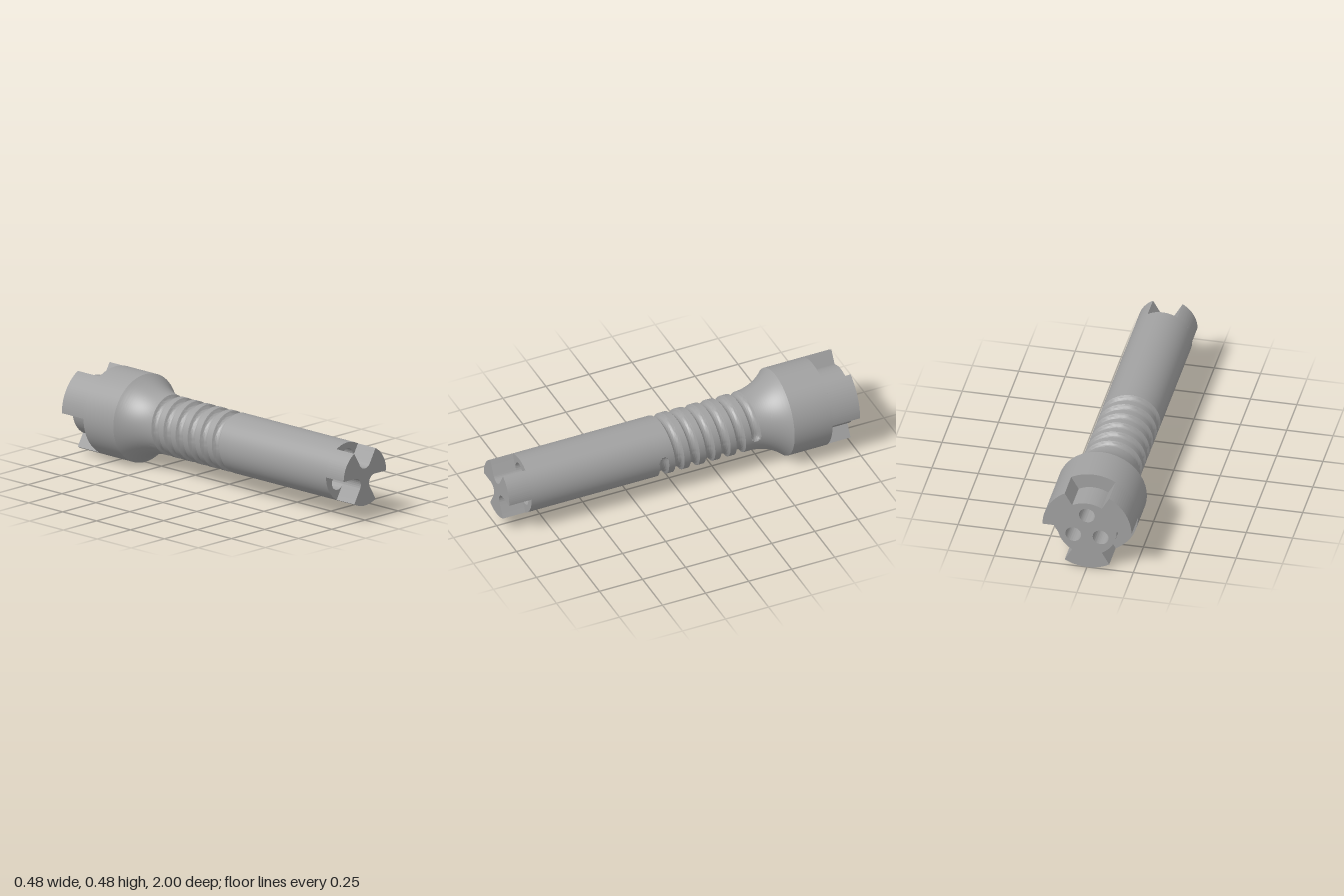
import * as THREE from 'three';
import { toCreasedNormals } from 'three/addons/utils/BufferGeometryUtils.js';

const TAU = Math.PI * 2, deg = Math.PI / 180;
const SHAFT = 0.16, HEAD = 0.24;               // outer radii
const BORE = 0.0425, BORE_AT = 0.085;          // three through holes
const SPOKES = [90, 210, 330].map(a => a * deg);
const START = 0.1, TURNS = 6, PITCH = 0.0892;  // helical groove
const TOP = START + PITCH / 2, FLARE = -0.42, HEAD_Z = -0.62;

const boreCentre = h => [BORE_AT * Math.cos(h), BORE_AT * Math.sin(h)];

function drill(shape) {
  for (const h of SPOKES) shape.holes.push(new THREE.Path().absarc(...boreCentre(h), BORE, 0, TAU, true));
  return shape;
}

const disc = r => drill(new THREE.Shape().absarc(0, 0, r, 0, TAU, false));

// Three lobes: 60 degree slots that run tangentially into the bores
function lobes() {
  const s = new THREE.Shape();
  for (const h of SPOKES) {
    s.absarc(0, 0, SHAFT, h - 90 * deg, h - 30 * deg, false);
    s.absarc(...boreCentre(h), BORE, h - 120 * deg, h - 240 * deg, true);
  }
  return s;
}

// Three teeth around a core of the shaft's radius
function teeth() {
  const s = new THREE.Shape();
  for (const h of SPOKES) {
    s.absarc(0, 0, HEAD, h - 90 * deg, h - 30 * deg, false);
    s.absarc(0, 0, SHAFT, h - 30 * deg, h + 30 * deg, false);
  }
  return drill(s);
}

function extrude(shape, z0, z1) {
  const g = new THREE.ExtrudeGeometry(shape, { depth: z1 - z0, bevelEnabled: false, curveSegments: 48 });
  return toCreasedNormals(g.translate(0, 0, z0), 0.5);
}

// Radius without groove: straight shaft, then a circular flare to the head
function bodyRadius(z) {
  const d = Math.max(0, FLARE - z), arc = 0.29;
  return SHAFT + arc - Math.sqrt(arc * arc - d * d);
}

// Depth of the round-ended groove at angle a and height z
function grooveDepth(a, z) {
  const half = 0.025, depth = 0.023;
  let near = half;
  for (let k = -1; k <= TURNS; k++) {
    const turn = a / TAU + k, t = Math.min(TURNS, Math.max(0, turn));
    near = Math.min(near, Math.hypot(z - (START - PITCH * t), (turn - t) * TAU * SHAFT));
  }
  return depth * Math.sqrt(1 - (near / half) ** 2);
}

// Grid whose rows follow the helix, clamped flat at both ends
function threadGeometry() {
  const cols = 96, perTurn = 36, rows = perTurn * 11, pos = [], index = [];
  for (let i = 0; i <= rows; i++) {
    for (let j = 0; j <= cols; j++) {
      const a = TAU * j / cols;
      const z = Math.max(HEAD_Z, Math.min(TOP, TOP + PITCH - PITCH * (i / perTurn + j / cols)));
      const r = bodyRadius(z) - grooveDepth(a, z);
      pos.push(r * Math.cos(a), -r * Math.sin(a), z);
    }
  }
  const w = cols + 1, zOf = n => pos[n * 3 + 2];
  for (let i = 0; i < rows; i++) {
    for (let j = 0; j < cols; j++) {
      const a = i * w + j, b = a + 1, c = a + w, d = c + 1;
      if (zOf(a) === zOf(d)) continue;         // collapsed by the clamp
      index.push(a, b, c, b, d, c);
    }
  }
  const g = new THREE.BufferGeometry();
  g.setAttribute('position', new THREE.Float32BufferAttribute(pos, 3));
  g.setIndex(index);
  return toCreasedNormals(g, 0.6);
}

export function createModel() {
  const steel = new THREE.MeshStandardMaterial({ color: 0xa0a0a0 });
  steel.name = 'grey steel';
  const model = new THREE.Group();
  model.name = 'threadedShaft';
  const add = (name, geometry) => {
    const mesh = new THREE.Mesh(geometry, steel);
    mesh.name = name;
    model.add(mesh);
    return mesh;
  };

  add('slottedTip', extrude(lobes(), 0.87, 1));
  add('shaft', extrude(disc(SHAFT), TOP, 0.87));
  add('groovedNeck', threadGeometry());
  add('head', extrude(disc(HEAD), -0.84, HEAD_Z));
  add('slottedHeadEnd', extrude(teeth(), -1, -0.84));

  // Bore walls through the neck, facing inwards
  const wall = [new THREE.Vector2(BORE, TOP), new THREE.Vector2(BORE, HEAD_Z)];
  for (const h of SPOKES) {
    const [x, y] = boreCentre(h);
    add('boreWall', new THREE.LatheGeometry(wall, 48).rotateX(Math.PI / 2).translate(x, y, 0));
  }

  model.position.y = HEAD;
  const root = new THREE.Group();
  root.name = 'model';
  root.add(model);
  return root;
}
